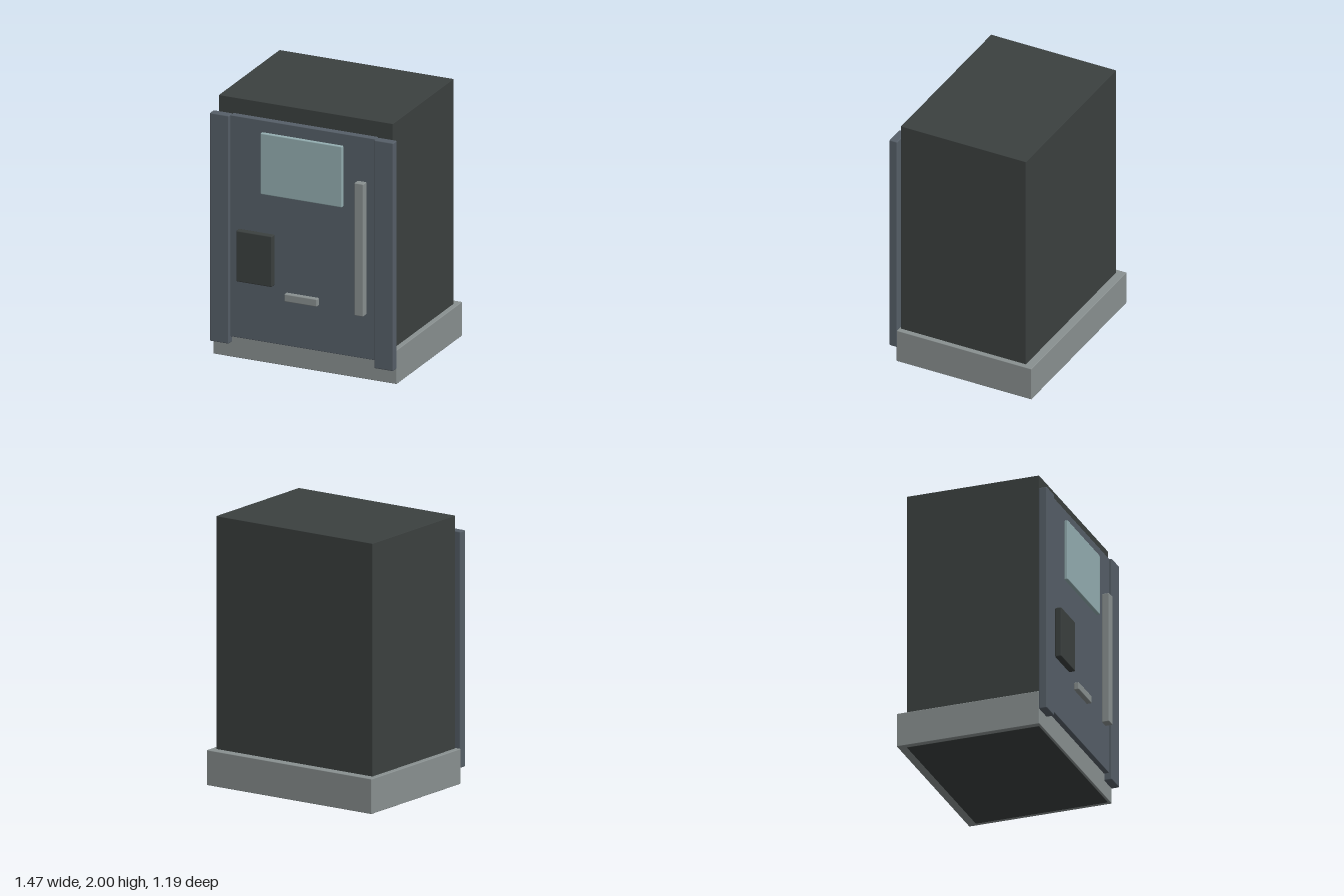
import * as THREE from 'three';
import { RoundedBoxGeometry } from 'three/addons/geometries/RoundedBoxGeometry.js';

const mat = (name, color) => {
  const m = new THREE.MeshStandardMaterial({ color });
  m.name = name;
  return m;
};

export function createModel() {
  const charcoal = mat('charcoal', 0x3b403f);
  const grey = mat('grey', 0x899090);
  const slate = mat('slate', 0x565f68);
  const glass = mat('paleGlass', 0x94aeb1);

  const group = new THREE.Group();
  group.name = 'kiosk';

  // Softly bevelled box given by its limits on each axis
  const box = (name, material, [x0, x1], [y0, y1], [z0, z1], bevel = 0.005) => {
    const mesh = new THREE.Mesh(
      new RoundedBoxGeometry(x1 - x0, y1 - y0, z1 - z0, 2, bevel), material);
    mesh.position.set((x0 + x1) / 2, (y0 + y1) / 2, (z0 + z1) / 2);
    mesh.name = name;
    group.add(mesh);
  };

  // Cabinet runs down through the plinth and shows underneath
  box('cabinet', charcoal, [-0.697, 0.693], [0, 2], [-0.532, 0.489], 0.003);
  box('plinth', grey, [-0.735, 0.731], [0.004, 0.266], [-0.597, 0.505]);

  // Front door with a post on each side
  box('door', slate, [-0.581, 0.577], [0.175, 1.882], [0.489, 0.543]);
  box('rightPost', slate, [-0.735, -0.583], [0.122, 1.882], [0.5, 0.564], 0.008);
  box('leftPost', slate, [0.578, 0.731], [0.122, 1.882], [0.5, 0.564], 0.008);

  // Door fittings
  box('screen', glass, [-0.329, 0.324], [1.32, 1.792], [0.54, 0.57], 0.008);
  box('keypad', charcoal, [-0.513, -0.227], [0.625, 1.017], [0.54, 0.59], 0.008);
  box('slot', grey, [-0.133, 0.129], [0.527, 0.587], [0.54, 0.581], 0.008);
  box('handle', grey, [0.435, 0.507], [0.518, 1.54], [0.54, 0.597], 0.006);

  return group;
}
